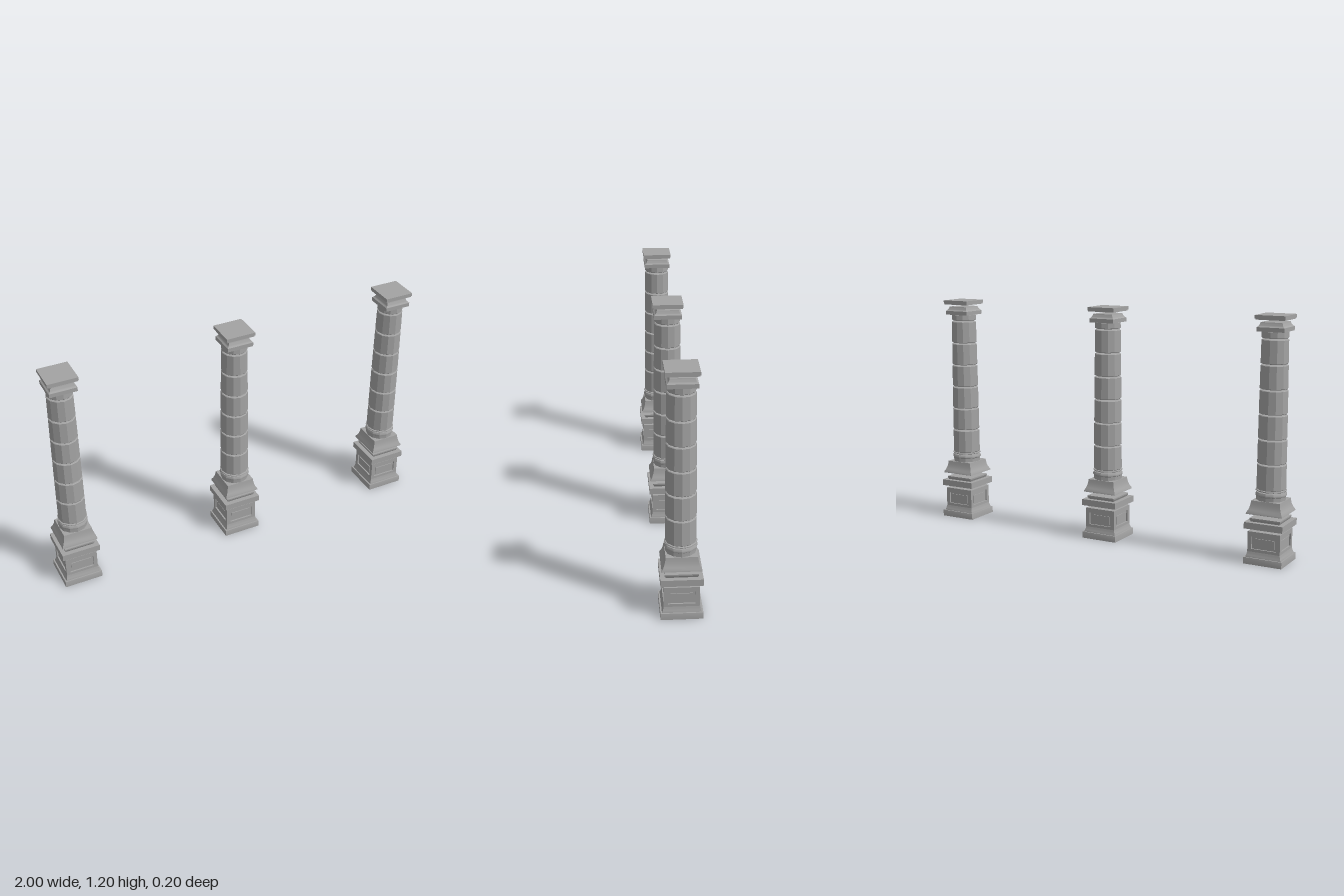
import * as THREE from 'three';
import { toCreasedNormals } from 'three/addons/utils/BufferGeometryUtils.js';

const stone = new THREE.MeshStandardMaterial({ color: 0xa3a3a3 });
stone.name = 'grey stone';

function add(parent, name, geometry) {
  const mesh = new THREE.Mesh(geometry, stone);
  mesh.name = name;
  parent.add(mesh);
  return mesh;
}

// Closed solid turned from [half width, height] pairs, listed bottom to top.
function turned(profile, sides, crease) {
  const square = sides === 4;
  const k = square ? Math.SQRT2 : 1;
  const pts = profile.map(([r, y]) => new THREE.Vector2(r * k, y));
  pts.unshift(new THREE.Vector2(0, profile[0][1]));
  pts.push(new THREE.Vector2(0, profile[profile.length - 1][1]));
  const g = new THREE.LatheGeometry(pts, sides, square ? Math.PI / 4 : 0);
  return toCreasedNormals(g, crease);
}
const squareBlock = (profile) => turned(profile, 4, 0.5);
const roundBlock = (profile) => turned(profile, 12, 0.3);

function rect(shape, hw, y0, y1) {
  shape.moveTo(-hw, y0);
  shape.lineTo(hw, y0);
  shape.lineTo(hw, y1);
  shape.lineTo(-hw, y1);
  shape.closePath();
  return shape;
}

// Pedestal die with a sunk panel on each of its four sides
function createDie() {
  const die = new THREE.Group();
  die.name = 'pedestalDie';
  const core = add(die, 'dieCore', new THREE.BoxGeometry(0.15, 0.1, 0.15));
  core.position.y = 0.109;
  for (let i = 0; i < 4; i++) {
    const side = new THREE.Group();
    side.name = 'panelSide';
    side.rotation.y = i * Math.PI / 2;
    const shape = rect(new THREE.Shape(), i % 2 ? 0.075 : 0.083, 0.06, 0.16);
    shape.holes.push(rect(new THREE.Path(), 0.063, 0.074, 0.136));
    const frame = new THREE.ExtrudeGeometry(shape, { depth: 0.008, bevelEnabled: false });
    add(side, 'panelFrame', frame).position.z = 0.075;
    const panel = new THREE.BoxGeometry(0.104, 0.042, 0.005);
    add(side, 'panel', panel).position.set(0, 0.105, 0.0765);
    die.add(side);
  }
  return die;
}

function createColumn() {
  const column = new THREE.Group();
  column.name = 'column';

  // Pedestal: plinth with a curved foot, die and stepped cap
  add(column, 'plinth', squareBlock([
    [0.098, 0], [0.098, 0.033], [0.091, 0.033], [0.087, 0.043], [0.0845, 0.052], [0.083, 0.06],
  ]));
  column.add(createDie());
  add(column, 'pedestalCap', squareBlock([
    [0.098, 0.175], [0.098, 0.207], [0.073, 0.207], [0.075, 0.213], [0.078, 0.217], [0.078, 0.225],
  ]));

  // Flared square base and the round mouldings above it
  add(column, 'flaredBase', squareBlock([
    [0.086, 0.245], [0.092, 0.247], [0.091, 0.253], [0.083, 0.267],
    [0.078, 0.281], [0.075, 0.296], [0.073, 0.311],
  ]));
  add(column, 'lowerRing', roundBlock([
    [0.072, 0.31], [0.072, 0.33], [0.076, 0.333], [0.077, 0.338], [0.076, 0.344], [0.073, 0.35],
  ]));
  add(column, 'upperRing', roundBlock([
    [0.073, 0.355], [0.076, 0.357], [0.076, 0.361], [0.072, 0.363],
  ]));

  // Shaft of tapering drums separated by fine joints
  const radius = (y) => 0.072 - 0.007 * Math.pow((y - 0.36) / 0.76, 1.4);
  const joints = [0.36, 0.488, 0.608, 0.728, 0.847, 0.967, 1.088, 1.127];
  for (let i = 0; i < joints.length - 1; i++) {
    const y0 = joints[i] + 0.003, y1 = joints[i + 1] - 0.003;
    const r0 = radius(y0), r1 = radius(y1);
    add(column, 'shaftDrum', roundBlock([
      [r0 - 0.003, y0], [r0, y0 + 0.003], [r1, y1 - 0.003], [r1 - 0.003, y1],
    ]));
  }

  // Capital and abacus
  add(column, 'capital', squareBlock([
    [0.069, 1.123], [0.069, 1.143], [0.064, 1.146], [0.059, 1.152], [0.056, 1.159], [0.054, 1.166],
  ]));
  add(column, 'abacus', squareBlock([
    [0.073, 1.178], [0.073, 1.184], [0.076, 1.184], [0.076, 1.2],
  ]));
  return column;
}

export function createModel() {
  const model = new THREE.Group();
  model.name = 'threeColumns';
  for (const x of [-0.902, 0, 0.902]) {
    const column = createColumn();
    column.position.x = x;
    model.add(column);
  }
  return model;
}
